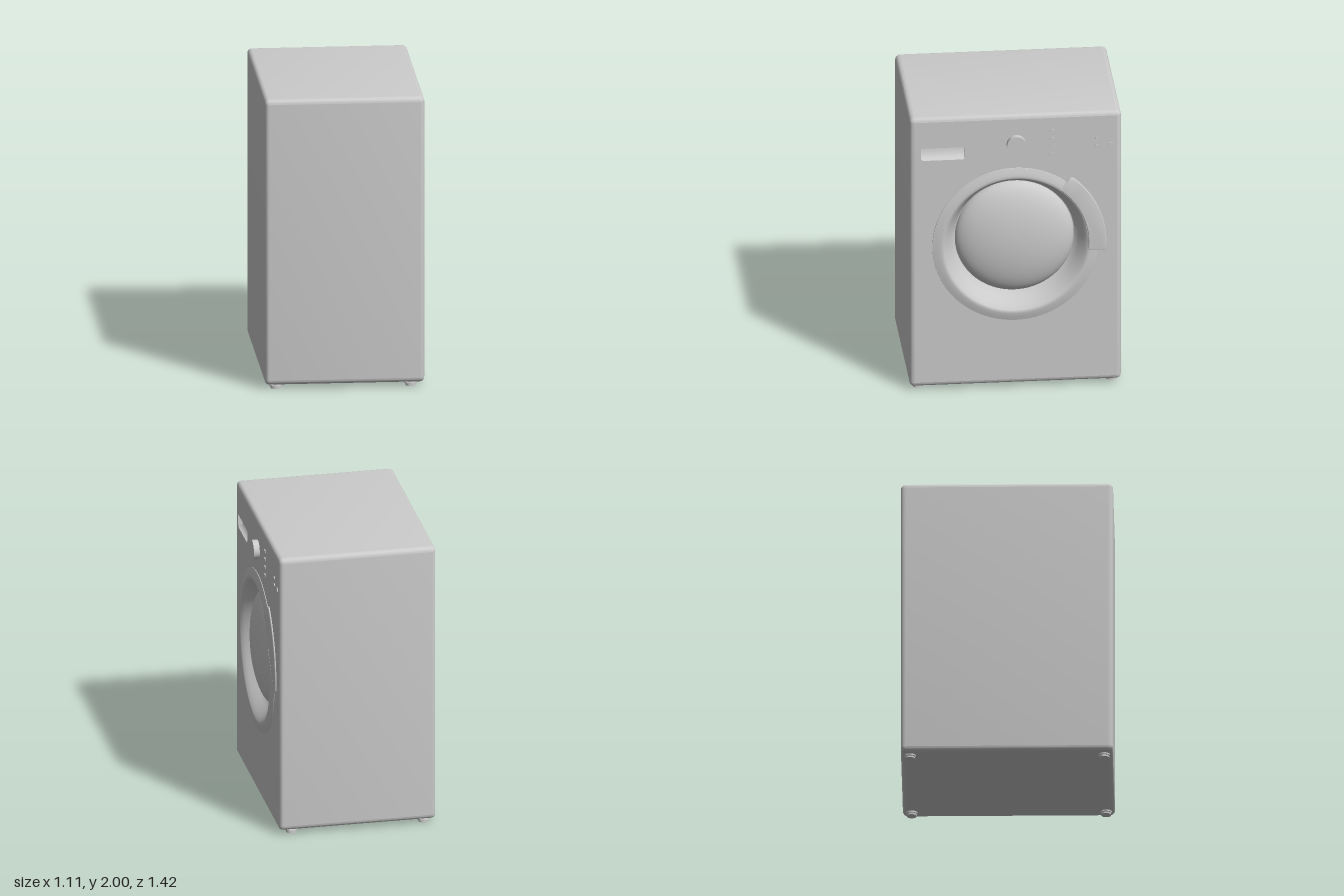
import * as THREE from 'three';
import { toCreasedNormals } from 'three/addons/utils/BufferGeometryUtils.js';

// Built with the door panel facing local +z, then turned so it faces +x.
const BACK = -0.555, FRONT = 0.515, DOOR_Y = 1.055, GLASS_Y = 1.08;
const grey = new THREE.MeshStandardMaterial({ color: 0xcccccc });
const greyDouble = new THREE.MeshStandardMaterial({ color: 0xcccccc, side: THREE.DoubleSide });

function roundedRect(path, x0, y0, x1, y1, rBottom, rTop = rBottom) {
  path.moveTo(x0 + rBottom, y0).lineTo(x1 - rBottom, y0);
  path.absarc(x1 - rBottom, y0 + rBottom, rBottom, -Math.PI / 2, 0, false);
  path.absarc(x1 - rTop, y1 - rTop, rTop, 0, Math.PI / 2, false);
  path.absarc(x0 + rTop, y1 - rTop, rTop, Math.PI / 2, Math.PI, false);
  path.absarc(x0 + rBottom, y0 + rBottom, rBottom, Math.PI, Math.PI * 1.5, false);
  return path;
}

// Surface through circles [centreY, radius, z], listed from outside to inside
function loftCircles(circles, seg = 96) {
  const pos = [], idx = [];
  circles.forEach(([cy, r, z], i) => {
    for (let j = 0; j < seg; j++) {
      const a = (j / seg) * Math.PI * 2;
      pos.push(r * Math.cos(a), cy + r * Math.sin(a), z);
      if (i === 0) continue;
      const k = (j + 1) % seg, o = (i - 1) * seg, n = i * seg;
      idx.push(o + j, o + k, n + j, o + k, n + k, n + j);
    }
  });
  const g = new THREE.BufferGeometry();
  g.setAttribute('position', new THREE.Float32BufferAttribute(pos, 3));
  g.setIndex(idx);
  g.computeVertexNormals();
  return g;
}

// Rounded cabinet shell, with its front cap removed
function cabinetGeometry(bevel) {
  const shape = roundedRect(new THREE.Shape(), -0.71, 0.03, 0.71, 2, 0.034);
  const solid = new THREE.ExtrudeGeometry(shape, {
    depth: FRONT - BACK - 2 * bevel, bevelEnabled: true, bevelSize: bevel,
    bevelThickness: bevel, bevelOffset: -bevel, bevelSegments: 5, curveSegments: 6,
  }).translate(0, 0, BACK + bevel);
  const p = solid.attributes.position, kept = [];
  for (let i = 0; i < p.count; i += 3) {
    if ([0, 1, 2].every((k) => p.getZ(i + k) > FRONT - 1e-4)) continue;
    for (let k = 0; k < 3; k++) kept.push(p.getX(i + k), p.getY(i + k), p.getZ(i + k));
  }
  const g = new THREE.BufferGeometry();
  g.setAttribute('position', new THREE.Float32BufferAttribute(kept, 3));
  return toCreasedNormals(g, 0.6);
}

// Curved door grip following the ring, sloping back towards its outer edge
function handleGeometry() {
  const a0 = -0.105, a1 = 0.9, r0 = 0.496, r1 = 0.604;
  const at = (r, a) => [r * Math.cos(a), r * Math.sin(a)];
  const s = new THREE.Shape();
  s.moveTo(...at(r0, a0)).lineTo(...at(r1 - 0.02, a0));
  s.quadraticCurveTo(...at(r1, a0), ...at(r1, a0 + 0.035));
  s.absarc(0, 0, r1, a0 + 0.035, a1 - 0.035, false);
  s.quadraticCurveTo(...at(r1, a1), ...at(r1 - 0.02, a1));
  s.lineTo(...at(r0, a1));
  s.absarc(0, 0, r0, a1, a0, true);
  const g = new THREE.ExtrudeGeometry(s, {
    depth: 0.03, bevelEnabled: true, bevelSize: 0.006, bevelThickness: 0.006,
    bevelSegments: 3, curveSegments: 24,
  });
  const p = g.attributes.position;
  for (let i = 0; i < p.count; i++) {
    const r = Math.hypot(p.getX(i), p.getY(i));
    p.setZ(i, p.getZ(i) + 0.505 - (r - 0.49) * 0.14);
  }
  return toCreasedNormals(g.translate(0, DOOR_Y, 0), 0.6);
}

export function createModel() {
  const root = new THREE.Group();
  const machine = new THREE.Group();
  machine.name = 'washingMachine';
  machine.rotation.y = Math.PI / 2;
  root.add(machine);
  const add = (name, geometry, material = grey) => {
    const m = new THREE.Mesh(geometry, material);
    m.name = name;
    machine.add(m);
    return m;
  };

  // Cabinet and front panel with openings for door and drawer
  const bevel = 0.03;
  add('cabinet', cabinetGeometry(bevel));
  const panel = roundedRect(new THREE.Shape(), -0.71 + bevel, 0.03 + bevel, 0.71 - bevel, 2 - bevel, 0.004);
  panel.holes.push(new THREE.Path().absarc(0, DOOR_Y, 0.53, 0, Math.PI * 2, true));
  panel.holes.push(roundedRect(new THREE.Path(), -0.635, 1.69, -0.34, 1.78, 0.02, 0.006));
  add('frontPanel', new THREE.ShapeGeometry(panel, 48).translate(0, 0, FRONT));

  // Drawer recess: side walls, ceiling and curved scoop
  const scoop = new THREE.Shape();
  scoop.moveTo(0, 1.69).quadraticCurveTo(-0.045, 1.7, -0.05, 1.78);
  const pts = scoop.getPoints(10);
  const strip = new THREE.PlaneGeometry(0.295, 1, 1, 11);
  for (let i = 0; i <= 11; i++) {
    const q = i === 0 ? { x: 0, y: 1.78 } : pts[11 - i];
    for (let k = 0; k < 2; k++) {
      strip.attributes.position.setXYZ(i * 2 + k, k ? -0.34 : -0.635, q.y, FRONT + q.x);
    }
  }
  add('drawerRecess', toCreasedNormals(strip, 0.6), greyDouble);
  const cheek = new THREE.Shape([...pts, new THREE.Vector2(0, 1.78)]);
  for (const x of [-0.635, -0.34]) {
    add('drawerRecessSide', new THREE.ShapeGeometry(cheek).rotateY(-Math.PI / 2).translate(x, 0, FRONT), greyDouble)
      .geometry.attributes.position.needsUpdate = true;
  }
  // Cheek profiles are mirrored in depth so they sit behind the panel
  machine.children.filter((m) => m.name === 'drawerRecessSide').forEach((m) => {
    const p = m.geometry.attributes.position;
    for (let i = 0; i < p.count; i++) p.setZ(i, FRONT - Math.abs(p.getZ(i) - FRONT));
  });

  // Door ring with off-centre funnel, and domed glass
  add('doorRing', toCreasedNormals(loftCircles([
    [DOOR_Y, 0.56, 0.51], [DOOR_Y, 0.558, 0.519], [DOOR_Y, 0.53, 0.527], [DOOR_Y, 0.505, 0.533],
    [DOOR_Y, 0.49, 0.534], [DOOR_Y, 0.482, 0.53], [1.06, 0.462, 0.508], [1.07, 0.43, 0.465],
    [GLASS_Y, 0.405, 0.425], [GLASS_Y, 0.39, 0.418],
  ]), 0.6));
  const dome = [];
  for (let i = 0; i <= 16; i++) {
    const t = (i / 16) * Math.PI / 2;
    dome.push([GLASS_Y, 0.4 * Math.cos(t) + 1e-5, 0.42 + 0.125 * Math.sin(t)]);
  }
  add('doorGlass', loftCircles(dome));
  add('doorHandle', handleGeometry());

  // Dial and buttons
  const disc = (name, x, y, r, h) => add(name,
    new THREE.CylinderGeometry(r, r, h + 0.01, 32).rotateX(Math.PI / 2).translate(x, y, FRONT + (h - 0.01) / 2));
  disc('dial', 0.005, 1.79, 0.065, 0.04);
  for (const y of [1.87, 1.813, 1.755, 1.697]) disc('programButton', 0.245, y, 0.017, 0.006);
  for (const y of [1.805, 1.753]) disc('smallButton', 0.547, y, 0.012, 0.006);
  disc('powerButton', 0.64, 1.753, 0.019, 0.006);

  // Feet
  const footProfile = [[0, 0], [0.034, 0], [0.034, 0.012], [0.04, 0.014], [0.04, 0.024], [0.022, 0.025], [0.022, 0.04]]
    .map(([x, y]) => new THREE.Vector2(x, y));
  const foot = toCreasedNormals(new THREE.LatheGeometry(footProfile, 24), 0.6);
  for (const x of [-0.65, 0.65]) for (const z of [-0.48, 0.425]) add('foot', foot).position.set(x, 0, z);

  return root;
}
